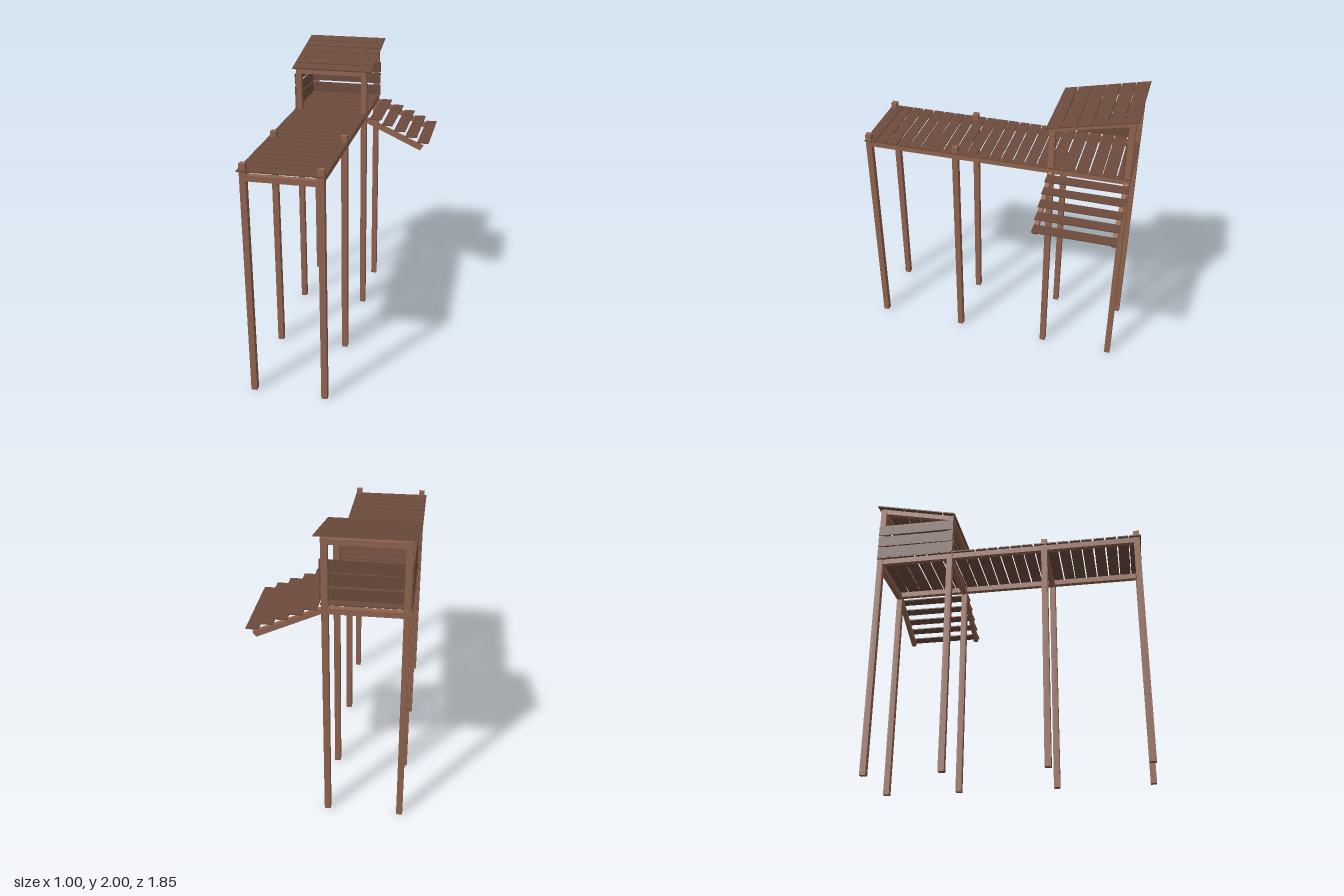
import * as THREE from 'three';

export function createModel() {
  const root = new THREE.Group();
  const beamWood = new THREE.MeshStandardMaterial({ color: 0x90634f });
  beamWood.name = 'light timber';
  const plankWood = new THREE.MeshStandardMaterial({ color: 0x6c4b3c });
  plankWood.name = 'dark planks';

  let seed = 7;
  const rand = () => (seed = (seed * 16807) % 2147483647) / 2147483647 - 0.5;

  const box = (name, mat, size, pos, parent = root) => {
    const mesh = new THREE.Mesh(new THREE.BoxGeometry(...size), mat);
    mesh.name = name;
    mesh.position.set(...pos);
    parent.add(mesh);
    return mesh;
  };

  // Thin board whose long edges are slightly out of true along one axis
  const plank = (name, size, pos, axis, parent = root) => {
    const mesh = box(name, plankWood, size, pos, parent);
    const p = mesh.geometry.attributes.position;
    const shift = [0, 1, 2, 3].map(() => rand() * 0.006);
    const long = size[0] > size[2] ? 'X' : 'Z';
    for (let i = 0; i < p.count; i++) {
      const corner = (p['get' + long](i) > 0 ? 2 : 0) + (p['get' + axis](i) > 0 ? 1 : 0);
      p['set' + axis](i, p['get' + axis](i) + shift[corner]);
    }
    mesh.geometry.computeVertexNormals();
    return mesh;
  };

  const xs = [-0.46, 0.02], midX = -0.22;
  const posts = [[0.895, 1.605], [0.27, 1.605], [-0.39, 1.868], [-0.89, 1.978]];

  // Posts, with a cross beam joining each pair
  for (const [z, top] of posts) {
    for (const x of xs) box('post', beamWood, [0.04, top, 0.04], [x, top / 2, z]);
    box('crossBeam', beamWood, [0.44, 0.038, 0.036], [midX, 1.515, z]);
  }

  // Long beams under the deck
  for (const x of xs) {
    for (let i = 0; i < 3; i++) {
      const a = posts[i][0] - 0.02, b = posts[i + 1][0] + 0.02;
      box('sideBeam', beamWood, [0.034, 0.038, a - b], [x, 1.537, (a + b) / 2]);
    }
  }

  // Walkway and hut floor boards
  for (let i = 0; i < 16; i++)
    plank('deckBoard', [0.54, 0.008, 0.073], [-0.225, 1.56, 0.885 - i * 0.081], 'Z');
  for (let i = 0; i < 6; i++)
    plank('floorBoard', [0.54, 0.008, 0.082], [-0.225, 1.56, -0.416 - i * 0.09], 'Z');

  // Hut walls: back and one side
  for (let i = 0; i < 3; i++) {
    const y = 1.609 + i * 0.09;
    plank('backWallBoard', [0.54, 0.08, 0.008], [-0.214, y, -0.866], 'Y');
    plank('sideWallBoard', [0.008, 0.08, 0.54], [-0.485, y, -0.64], 'Y');
  }

  // Hut top frame
  const slope = Math.atan2(0.127, 0.575);
  box('frontTopBeam', beamWood, [0.44, 0.036, 0.036], [midX, 1.85, -0.39]);
  box('backTopBeam', beamWood, [0.44, 0.036, 0.036], [midX, 1.955, -0.89]);
  for (const x of xs)
    box('rafter', beamWood, [0.034, 0.036, 0.5], [x, 1.906, -0.64]).rotation.x = slope;

  // Sloping plank roof
  const roof = new THREE.Group();
  roof.name = 'roof';
  roof.position.set(-0.213, 1.933, -0.643);
  roof.rotation.x = slope;
  root.add(roof);
  for (let i = 0; i < 6; i++)
    plank('roofBoard', [0.58, 0.008, 0.09], [0, 0, (2.5 - i) * 0.0985], 'Z', roof);

  // Stair stringers as sloping bars
  const bar = new THREE.Shape([
    [0.035, 1.495], [0.437, 1.309], [0.46, 1.34], [0.035, 1.532],
  ].map(([x, y]) => new THREE.Vector2(x, y)));
  for (const z of [-0.39, -0.89]) {
    const geo = new THREE.ExtrudeGeometry(bar, { depth: 0.03, bevelEnabled: false });
    const mesh = new THREE.Mesh(geo, beamWood);
    mesh.name = 'stairStringer';
    mesh.position.z = z - 0.015;
    root.add(mesh);
  }

  // Stair treads
  for (let i = 0; i < 5; i++)
    plank('stairTread', [0.081, 0.008, 0.535], [0.105 + i * 0.0882, 1.52 - i * 0.0385, -0.643], 'X');

  return root;
}
